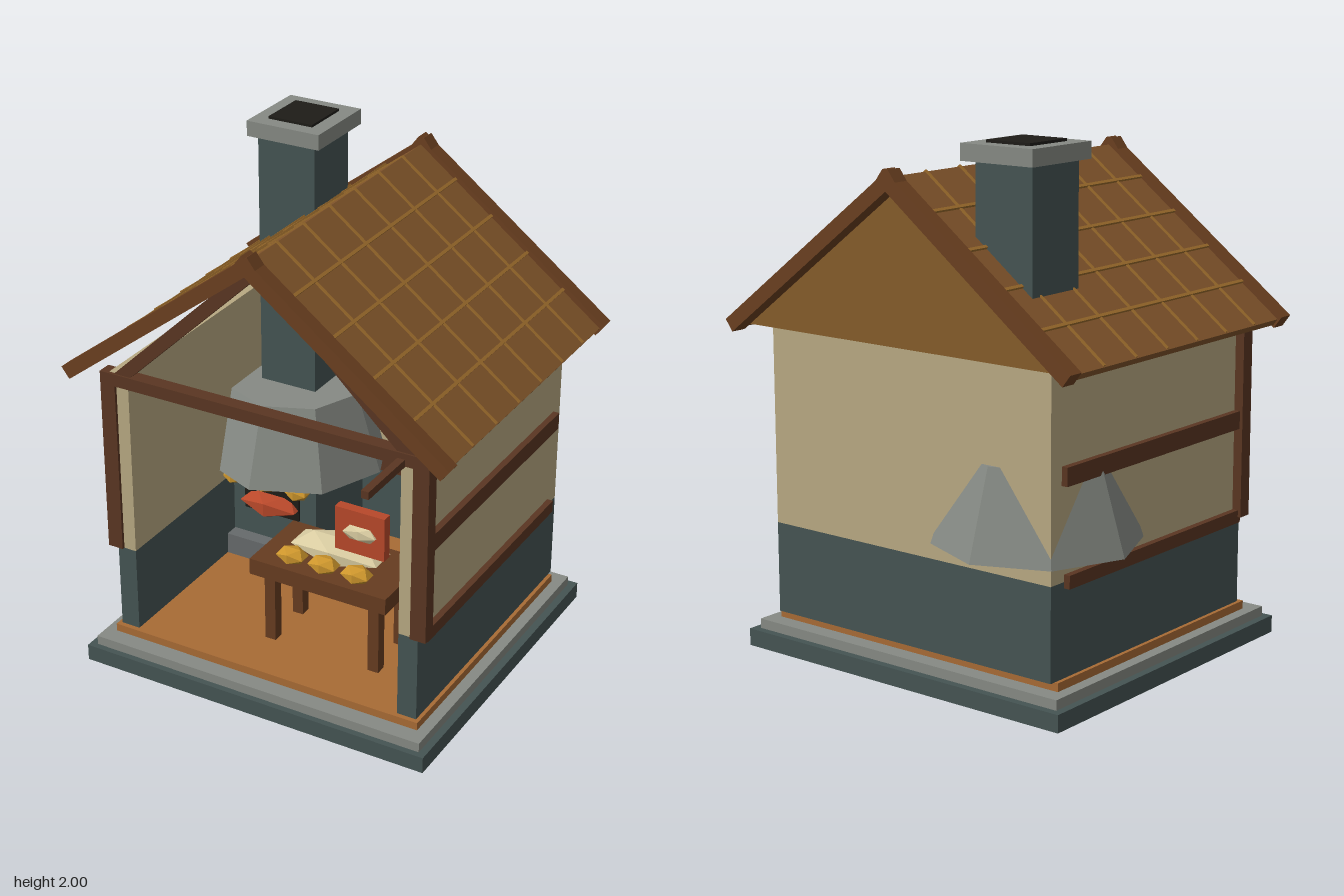
import * as THREE from 'three';

const C = {
  stone: 0x455453, grey: 0x868a84, floor: 0xa86b35, plaster: 0xb8a982, wood: 0x5a3622,
  barge: 0x6b4020, roof: 0x80542a, batten: 0x9c6c2c, gable: 0x855c2a, red: 0xb8482a,
  gold: 0xcc952c, cream: 0xd8cba0, black: 0x1e1c18, table: 0x663c20, step: 0x666a6b,
};
const mats = {};
function mat(key) {
  return mats[key] ??= new THREE.MeshStandardMaterial({ color: C[key], flatShading: true });
}

export function createModel() {
  const root = new THREE.Group();

  function add(name, geo, key, parent = root) {
    const m = new THREE.Mesh(geo, mat(key));
    m.name = name;
    parent.add(m);
    return m;
  }
  // Box given by its limits on each axis
  function box(name, key, x0, x1, y0, y1, z0, z1, parent) {
    const m = add(name, new THREE.BoxGeometry(x1 - x0, y1 - y0, z1 - z0), key, parent);
    m.position.set((x0 + x1) / 2, (y0 + y1) / 2, (z0 + z1) / 2);
    return m;
  }
  // Bar whose upper edge runs from (ax, ay) to (bx, by), thickness t below it
  function slopeBar(name, key, ax, ay, bx, by, t, z0, z1, parent) {
    const len = Math.hypot(bx - ax, by - ay);
    const dir = Math.sign(bx - ax);
    const m = add(name, new THREE.BoxGeometry(len, t, z1 - z0), key, parent);
    const nx = -(by - ay) / len * dir, ny = (bx - ax) / len * dir;
    m.position.set((ax + bx) / 2 - nx * t / 2, (ay + by) / 2 - ny * t / 2, (z0 + z1) / 2);
    m.rotation.z = Math.atan2((by - ay) * dir, (bx - ax) * dir);
    return m;
  }
  // Faceted lump
  function lump(name, key, x, y, z, rx, ry, rz, parent) {
    const m = add(name, new THREE.IcosahedronGeometry(1, 0), key, parent);
    m.scale.set(rx, ry, rz);
    m.position.set(x, y, z);
    return m;
  }

  // Stepped base and floor
  box('baseSlab', 'stone', -0.745, 0.745, 0, 0.067, -0.765, 0.61);
  box('baseStep', 'grey', -0.715, 0.715, 0.067, 0.105, -0.735, 0.585);
  box('floor', 'floor', -0.67, 0.67, 0.105, 0.137, -0.668, 0.515);

  // Walls: stone below, plaster above, open at the front
  for (const [name, key, y0, y1] of [['stoneWall', 'stone', 0.137, 0.49], ['plasterWall', 'plaster', 0.49, 1.25]]) {
    box(name + 'Back', key, -0.655, 0.655, y0, y1, -0.69, -0.61);
    for (const s of [-1, 1]) {
      const a = 0.575 * s, b = 0.655 * s;
      box(name + 'Side', key, Math.min(a, b), Math.max(a, b), y0, y1, -0.61, 0.495);
    }
  }

  // Timber frame
  for (const s of [-1, 1]) {
    const span = (a, b) => (s > 0 ? [a, b] : [-b, -a]);
    box('cornerPost', 'wood', ...span(0.628, 0.692), 0.49, 1.24, 0.45, 0.507);
    box('sideBeamLower', 'wood', ...span(0.64, 0.68), 0.467, 0.517, -0.615, 0.465);
    box('sideBeamUpper', 'wood', ...span(0.64, 0.68), 0.838, 0.907, -0.63, 0.455);
  }
  box('frontBeam', 'wood', -0.692, 0.692, 1.198, 1.248, 0.45, 0.507);
  box('backRail', 'wood', -0.185, 0.575, 0.467, 0.517, -0.62, -0.57);

  // Roof slopes with battens, barge boards and front rafters
  const roof = new THREE.Group();
  roof.name = 'roof';
  root.add(roof);
  const ridge = 1.865, edge = 0.79, pitch = 0.762;
  const roofY = (x) => ridge - pitch * x;
  for (const s of [-1, 1]) {
    slopeBar('roofSlope', 'roof', 0, ridge, s * edge, roofY(edge), 0.03, -0.72, 0.53, roof);
    for (let i = 1; i <= 4; i++) {
      const x = i * 0.158;
      slopeBar('batten', 'batten', s * (x - 0.005), roofY(x - 0.005) + 0.012,
        s * (x + 0.005), roofY(x + 0.005) + 0.012, 0.02, -0.72, 0.53, roof);
    }
    for (let i = 0; i < 6; i++) {
      const z = 0.367 - i * 0.187;
      slopeBar('roofRib', 'batten', 0, ridge + 0.007, s * edge, roofY(edge) + 0.007, 0.012, z - 0.005, z + 0.005, roof);
    }
    for (const [z0, z1] of [[0.525, 0.587], [-0.785, -0.722]])
      slopeBar('bargeBoard', 'barge', -s * 0.012, 1.894, s * 0.807, 1.272, 0.055, z0, z1, roof);
    slopeBar('frontRafter', 'wood', 0, 1.85, s * 0.63, 1.25, 0.05, 0.455, 0.5, roof);
  }

  // Gable at the back
  const tri = new THREE.Shape([[-0.755, 1.25], [0.755, 1.25], [0, 1.832]].map((p) => new THREE.Vector2(...p)));
  const gable = add('backGable', new THREE.ExtrudeGeometry(tri, { depth: 0.05, bevelEnabled: false }), 'gable', roof);
  gable.position.z = -0.715;

  // Forge: body, mouth, hearth step, hood and chimney
  const forge = new THREE.Group();
  forge.name = 'forge';
  root.add(forge);
  box('forgeBody', 'stone', -0.574, -0.185, 0.137, 0.549, -0.61, -0.22, forge);
  box('forgeMouth', 'black', -0.515, -0.26, 0.35, 0.547, -0.4, -0.21, forge);
  box('hearthStep', 'step', -0.573, -0.165, 0.137, 0.228, -0.6, -0.16, forge);
  lump('coals', 'red', -0.39, 0.4, -0.23, 0.15, 0.055, 0.1, forge);
  const hood = add('hood', new THREE.CylinderGeometry(0.282, 0.387, 0.33, 8), 'grey', forge);
  hood.position.set(-0.39, 0.715, -0.425);
  box('chimney', 'stone', -0.515, -0.265, 0.85, 1.93, -0.615, -0.355, forge);
  box('chimneyCap', 'grey', -0.547, -0.23, 1.928, 1.99, -0.655, -0.325, forge);
  box('flue', 'black', -0.485, -0.292, 1.95, 2, -0.59, -0.385, forge);
  for (const x of [-0.535, -0.39, -0.24]) lump('forgeLoaf', 'gold', x, 0.515, -0.17, 0.055, 0.035, 0.05, forge);

  // Table with a mound and loaves
  const table = new THREE.Group();
  table.name = 'table';
  root.add(table);
  box('tableTop', 'table', -0.155, 0.437, 0.435, 0.503, 0.01, 0.34, table);
  for (const x of [-0.088, 0.367])
    for (const z of [0.07, 0.28])
      box('tableLeg', 'table', x - 0.023, x + 0.023, 0.137, 0.44, z - 0.023, z + 0.023, table);
  lump('doughMound', 'cream', 0.14, 0.54, 0.155, 0.22, 0.055, 0.11, table);
  for (const x of [0, 0.14, 0.282]) lump('tableLoaf', 'gold', x, 0.535, 0.28, 0.068, 0.036, 0.05, table);

  // Rack with tools on the left inner wall
  const rack = new THREE.Group();
  rack.name = 'toolRack';
  root.add(rack);
  box('rackBoard', 'wood', 0.545, 0.575, 0.72, 0.96, -0.2, 0.12, rack);
  box('toolUpper', 'step', 0.525, 0.546, 0.855, 0.935, -0.15, -0.1, rack);
  box('toolLower', 'step', 0.525, 0.546, 0.73, 0.805, 0, 0.05, rack);
  box('cloth', 'cream', 0.515, 0.573, 0.612, 0.732, -0.12, 0.08, rack);
  box('rackRail', 'wood', 0.54, 0.576, 0.558, 0.605, -0.2, 0.12, rack);

  // Hanging sign on its bracket
  const sign = new THREE.Group();
  sign.name = 'sign';
  root.add(sign);
  box('signBracket', 'wood', 0.565, 0.595, 1.195, 1.225, 0.48, 0.768, sign);
  box('signBoard', 'red', 0.482, 0.675, 0.99, 1.157, 0.762, 0.8, sign);
  lump('signBoss', 'cream', 0.58, 1.072, 0.8, 0.075, 0.032, 0.018, sign);

  return root;
}
